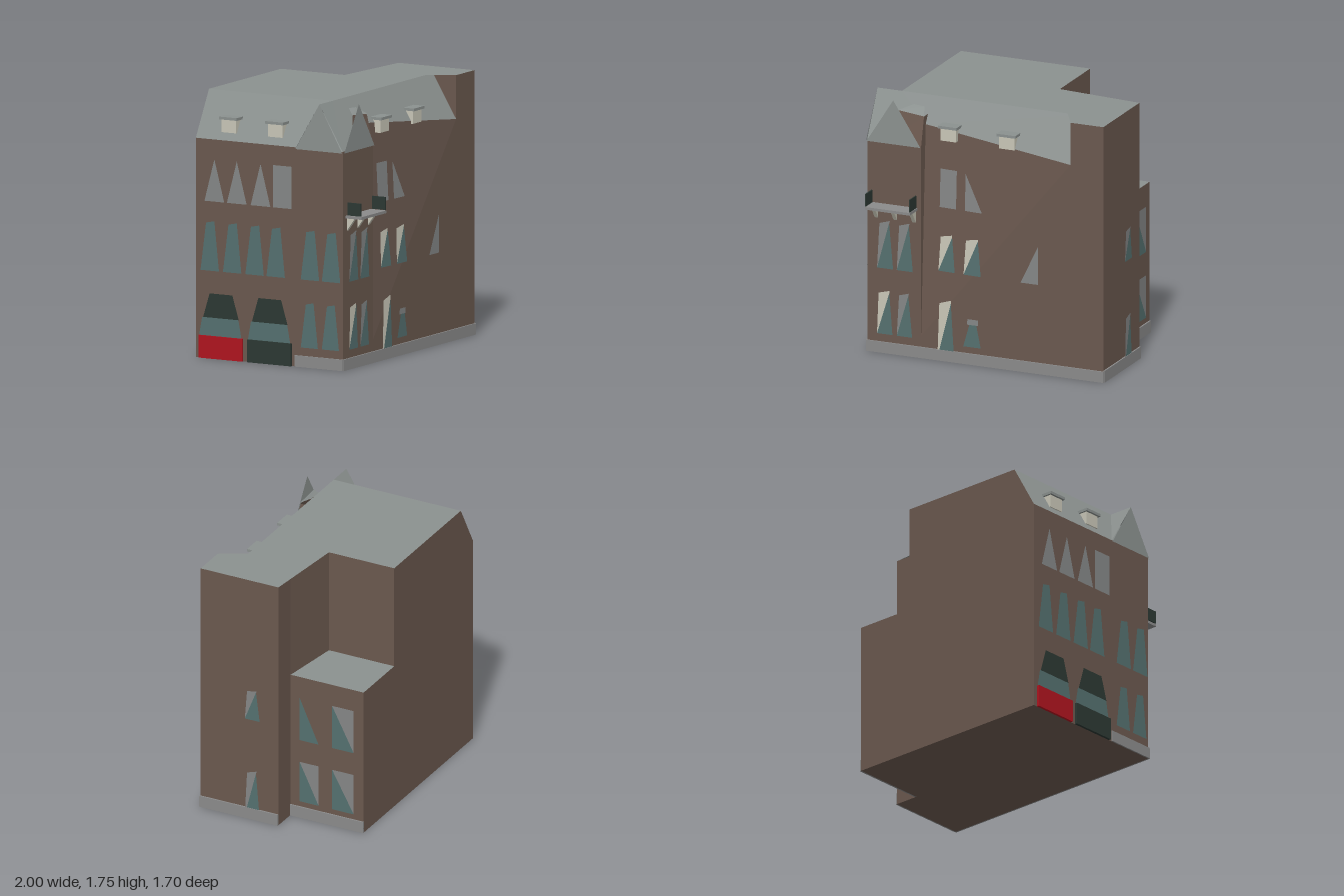
import * as THREE from 'three';

const mat = (name, color) => new THREE.MeshStandardMaterial({ name, color, side: THREE.DoubleSide });

export function createModel() {
  const brick = mat('brown brick', 0x6b594f), slate = mat('roof slate', 0x8b918f);
  const stone = mat('plinth stone', 0x8b8b8b), pane = mat('grey pane', 0x858787);
  const teal = mat('teal glass', 0x557170), cream = mat('cream trim', 0xc9c7b8);
  const dark = mat('dark green', 0x2c3833), red = mat('red door', 0xb0141f);

  const model = new THREE.Group();
  model.name = 'cornerBuilding';
  const house = new THREE.Group();
  house.name = 'house';
  house.rotation.y = THREE.MathUtils.degToRad(22);
  model.add(house);

  // Flat star-shaped face, fanned from its first corner
  function face(name, material, pts) {
    const pos = [];
    for (let i = 1; i < pts.length - 1; i++) pos.push(...pts[0], ...pts[i], ...pts[i + 1]);
    const g = new THREE.BufferGeometry();
    g.setAttribute('position', new THREE.Float32BufferAttribute(pos, 3));
    g.computeVertexNormals();
    const m = new THREE.Mesh(g, material);
    m.name = name;
    house.add(m);
    return m;
  }
  function box(name, material, w, h, d, x, y, z) {
    const m = new THREE.Mesh(new THREE.BoxGeometry(w, h, d), material);
    m.name = name;
    m.position.set(x, y, z);
    house.add(m);
    return m;
  }

  // Main levels and wall lines
  const L = -0.82, R = 0.87, F = 0.485, B = -0.63, N = -0.09, AX = 0.275, AR = 0.7, AZ = -0.147;
  const T = 1.75, E = 1.45, AT = 1.03, TX = -0.434, SX = 0.635, RX = -0.65, RZ = 0.31;
  const atZ = (z, pts) => pts.map(([x, y]) => [x, y, z]);
  const atX = (x, pts) => pts.map(([z, y]) => [x, y, z]);
  const atY = (y, pts) => pts.map(([x, z]) => [x, y, z]);

  // Walls
  face('backWall', brick, atZ(B, [[L, 0], [L, E], [RX, T], [AX, T], [AX, AT], [AR, AT], [AR, 0]]));
  face('leftWall', brick, atX(L, [[B, 0], [F, 0], [F, E], [B, E]]));
  face('rightWall', brick, atX(R, [[F, 0], [N, 0], [N, T], [F, T]]));
  face('notchWall', brick, atZ(N, [[R, 0], [AR, 0], [AR, T], [R, T]]));
  face('annexWall', brick, atX(AR, [[N, 0], [B, 0], [B, AT], [N, AT]]));
  face('annexUpperSide', brick, [[AR, AT, N], [AX, AT, AZ], [AX, T, AZ], [AR, T, N]]);
  face('annexUpperBack', brick, atX(AX, [[AZ, AT], [B, AT], [B, T], [AZ, T]]));
  face('frontRightStrip', brick, atZ(F, [[SX, 0], [R, 0], [R, T], [SX, T]]));
  face('frontLowerWall', brick, atZ(F, [[TX, 0], [SX, 0], [SX, 1.46], [TX, 0.15]]));
  face('frontLeaningWall', brick, [[TX, 0.15, F], [SX, 1.46, F], [TX, 1.58, 0.413]]);
  face('towerWall', brick, atZ(F, [[L, 0], [TX, 0], [TX, E], [L, E]]));
  face('towerSide', brick, atX(TX, [[F, 0.15], [0.413, 1.58], [F, E]]));
  face('roofStepWall', brick, atX(SX, [[F, 1.46], [F, T], [RZ, T]]));
  face('underside', brick, atY(0, [[AR, N], [R, N], [R, F], [L, F], [L, B], [AR, B]]));

  // Roofs
  face('flatRoof', slate, atY(T, [[AR, N], [R, N], [R, F], [SX, F], [SX, RZ], [RX, RZ], [RX, AZ], [AX, AZ]].reverse()));
  face('flatRoofBack', slate, atY(T, [[RX, AZ], [AX, AZ], [AX, B], [RX, B]]));
  face('annexRoof', slate, atY(AT, [[AX, AZ], [AR, N], [AR, B], [AX, B]]));
  face('leftRoofSlope', slate, [[L, E, B], [L, E, F], [RX, T, RZ], [RX, T, B]]);
  face('frontRoofSlope', slate, [[TX, 1.58, 0.413], [SX, 1.46, F], [SX, T, RZ], [RX, T, RZ], [L, E, F], [TX, E, F]]);

  // Corner gables
  face('frontGable', slate, [[L, 1.44, F + 0.012], [TX, 1.44, F + 0.012], [-0.63, 1.74, F + 0.01]]);
  face('leftGable', slate, [[L - 0.008, 1.44, 0.13], [L - 0.008, 1.44, F], [L - 0.005, T, 0.31]]);
  face('leftGableRoof', slate, [[L - 0.005, T, 0.31], [RX, T, RZ], [L, E, F]]);
  face('leftGableRoof', slate, [[L - 0.005, T, 0.31], [RX, T, RZ], [L, E, 0.13]]);

  // Brick dormer beside the front gable
  face('towerDormerFront', brick, [[-0.7, E, F], [TX, E, F], [TX, 1.64, 0.44], [-0.62, 1.66, 0.44]]);
  face('towerDormerSide', brick, [[TX, E, F], [TX, 1.64, 0.44], [TX, 1.64, 0.37], [TX, 1.5, 0.45]]);
  face('towerDormerRoof', slate, [[-0.62, 1.66, 0.44], [TX, 1.645, 0.445], [-0.46, 1.685, 0.37], [-0.54, 1.69, 0.365]]);

  // Small roof dormers
  for (const x of [-0.25, 0.17]) {
    box('frontDormer', cream, 0.11, 0.09, 0.09, x, 1.545, 0.42);
    box('frontDormerRoof', slate, 0.135, 0.018, 0.11, x, 1.595, 0.425);
  }
  for (const z of [-0.39, -0.04]) {
    box('leftDormer', cream, 0.09, 0.09, 0.11, -0.755, 1.545, z);
    box('leftDormerRoof', slate, 0.11, 0.018, 0.135, -0.76, 1.595, z);
  }

  // Stone plinth
  box('frontPlinth', stone, R - L + 0.012, 0.075, 0.012, (R + L) / 2, 0.0375, F + 0.004);
  box('rightPlinth', stone, 0.012, 0.08, F - N, R + 0.004, 0.04, (F + N) / 2);
  box('annexPlinth', stone, 0.012, 0.08, N - B, AR + 0.004, 0.04, (N + B) / 2);
  box('leftPlinth', stone, 0.012, 0.075, 0.36, L - 0.004, 0.0375, 0.305);

  // Wall mappings: s runs left to right as seen from outside
  const lean = (x, y) => (x < TX ? 0 : 0.0503 * Math.max(0, y - 0.15 - 1.2255 * (x - TX)));
  const front = (s, y) => [s, y, F + 0.007 - lean(s, y)];
  const left = (s, y) => [L - 0.007, y, s];
  const right = (s, y) => [R + 0.007, y, -s];
  const annex = (s, y) => [AR + 0.007, y, -s];

  // Window styles in unit coordinates
  const full = [[0, 0], [1, 0], [1, 1], [0, 1]];
  const lowLeft = [[0, 0], [1, 0], [0, 1]], lowRight = [[0, 0], [1, 0], [1, 1]], upRight = [[1, 0], [1, 1], [0, 1]];
  const styles = {
    reveal: [[teal, [[0, 0], [1, 0], [0.8, 0.95]]], [cream, [[0, 0], [0.8, 0.95], [0.8, 1], [0.1, 0.93]]]],
    capped: [[teal, [[0, 0], [1, 0], [0.75, 0.8], [0.35, 0.8]]], [pane, [[0.2, 0.8], [0.85, 0.8], [0.85, 1], [0.25, 1]]]],
    narrow: [[teal, [[0, 0], [1, 0], [0.75, 1], [0.3, 0.96]]]],
    tower: [[teal, [[0, 0], [1, 0], [0.75, 0.95]]], [pane, [[0, 0], [0.75, 0.95], [0.8, 1], [0.15, 0.93]]]],
    split: [[teal, lowLeft], [pane, upRight]],
    half: [[teal, lowLeft]],
    pane: [[pane, full]], paneLeft: [[pane, lowLeft]], paneRight: [[pane, lowRight]],
    spike: [[pane, [[0, 0], [1, 0], [0.5, 1]]]],
    panel: [[dark, [[0, 0], [1, 0], [0.82, 1], [0.18, 1]]]],
    glass: [[teal, [[0, 0], [1, 0], [0.93, 1], [0.07, 1]]]],
  };
  function windowOn(wall, style, s, w, y, h) {
    for (const [m, pts] of styles[style]) face('window', m, pts.map(([a, b]) => wall(s + a * w, y + b * h)));
  }

  // Front windows
  for (const [style, s, w, y, h] of [
    ['reveal', -0.747, 0.11, 0.13, 0.3], ['tower', -0.606, 0.11, 0.13, 0.3],
    ['tower', -0.747, 0.115, 0.58, 0.33], ['tower', -0.606, 0.115, 0.58, 0.33],
    ['reveal', -0.315, 0.12, 0.02, 0.4], ['capped', -0.13, 0.125, 0.12, 0.19],
    ['reveal', -0.315, 0.12, 0.61, 0.25], ['reveal', -0.13, 0.125, 0.61, 0.25],
    ['pane', -0.315, 0.12, 1.04, 0.26], ['paneLeft', -0.13, 0.125, 1.04, 0.25],
    ['paneRight', 0.28, 0.125, 0.61, 0.26],
  ]) windowOn(front, style, s, w, y, h);

  // Left windows
  for (const s of [-0.59, -0.42, -0.25, -0.09, 0.17, 0.33]) windowOn(left, 'narrow', s, 0.14, 0.58, 0.33);
  for (const s of [0.17, 0.33]) windowOn(left, 'narrow', s, 0.13, 0.13, 0.3);
  for (const s of [-0.56, -0.39, -0.21]) windowOn(left, 'spike', s, 0.15, 1.04, 0.28);
  windowOn(left, 'pane', -0.04, 0.14, 1.04, 0.28);

  // Shop doors with glazing and dark panels above
  for (const [s, m] of [[-0.6, red], [-0.23, dark]]) {
    box('shopDoor', m, 0.02, 0.15, 0.33, L - 0.008, 0.075, s + 0.165);
    windowOn(left, 'glass', s, 0.32, 0.15, 0.12);
    windowOn(left, 'panel', s + 0.03, 0.27, 0.27, 0.16);
  }

  // Right and annex windows
  windowOn(right, 'tower', -0.155, 0.11, 0.73, 0.22);
  windowOn(right, 'tower', -0.155, 0.11, 0.02, 0.34);
  windowOn(annex, 'half', 0.16, 0.14, 0.57, 0.31);
  windowOn(annex, 'split', 0.16, 0.14, 0.12, 0.29);
  for (const [y, h] of [[0.57, 0.31], [0.12, 0.29]]) windowOn(annex, 'split', 0.4, 0.16, y, h);

  // Balcony with end panels and tapered brackets
  box('balconySlab', stone, 0.32, 0.018, 0.12, -0.622, 1.013, 0.545);
  for (const x of [-0.78, -0.466]) box('balconyEnd', dark, 0.008, 0.085, 0.1, x, 1.068, 0.55);
  for (const x of [-0.755, -0.62, -0.485]) {
    const s = new THREE.Shape([new THREE.Vector2(0, 0), new THREE.Vector2(0.06, 0.085), new THREE.Vector2(0, 0.085)]);
    const g = new THREE.ExtrudeGeometry(s, { depth: 0.025, bevelEnabled: false });
    g.rotateY(-Math.PI / 2);
    const m = new THREE.Mesh(g, cream);
    m.name = 'balconyBracket';
    m.position.set(x + 0.0125, 0.92, F);
    house.add(m);
  }
  return model;
}
